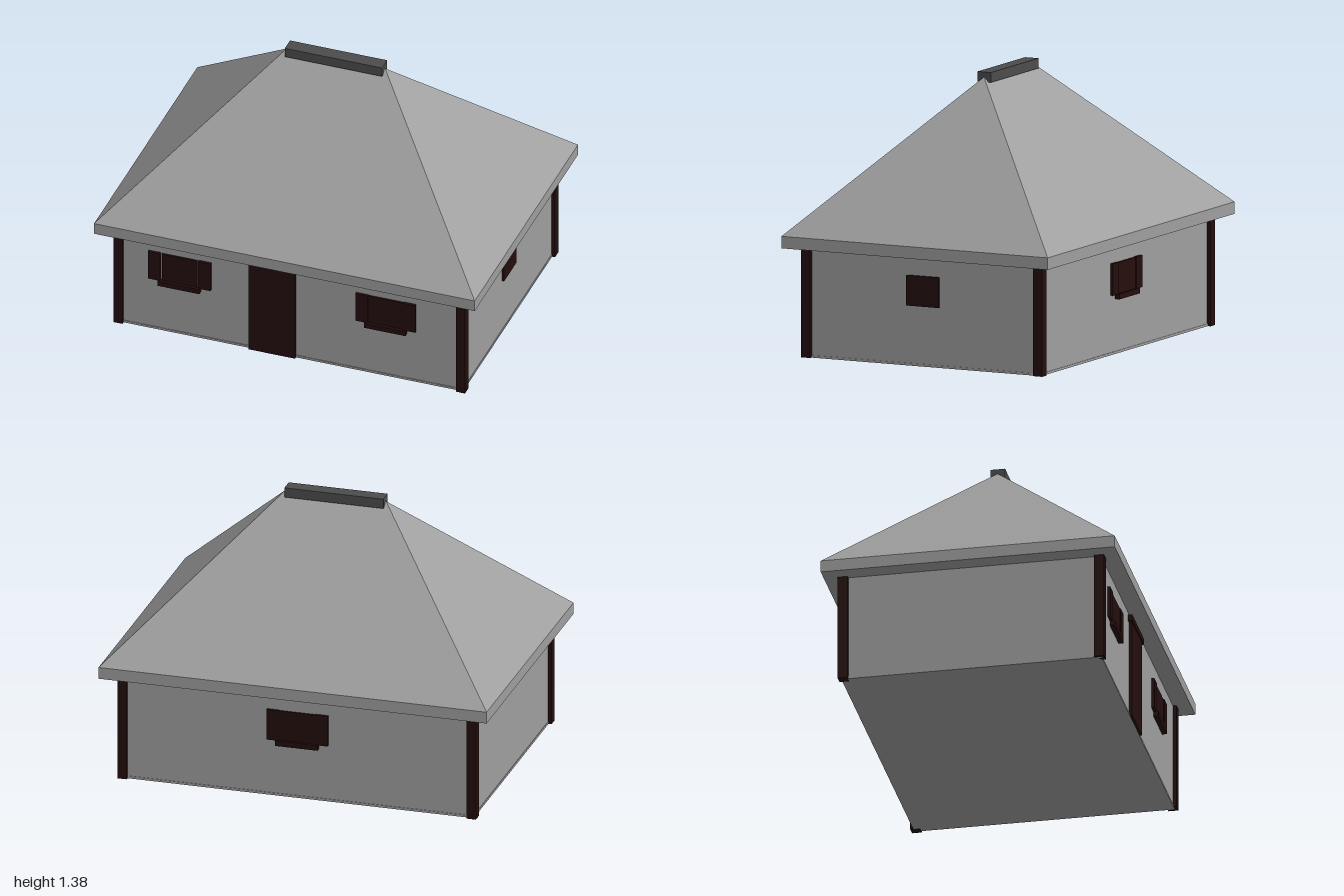
import * as THREE from 'three';

const material = (name, color) => {
  const m = new THREE.MeshStandardMaterial({ color });
  m.name = name;
  return m;
};

export function createModel() {
  const model = new THREE.Group();
  model.name = 'cottage';
  const plaster = material('light grey', 0x9f9f9f);
  const slate = material('dark grey', 0x4c4c4c);
  const wood = material('dark brown wood', 0x240e0d);

  // Box given by its extents on each axis
  const box = (parent, name, mat, [x0, x1], [y0, y1], [z0, z1]) => {
    const mesh = new THREE.Mesh(new THREE.BoxGeometry(x1 - x0, y1 - y0, z1 - z0), mat);
    mesh.position.set((x0 + x1) / 2, (y0 + y1) / 2, (z0 + z1) / 2);
    mesh.name = name;
    parent.add(mesh);
    return mesh;
  };

  // Floor slab and walls
  box(model, 'floorSlab', plaster, [-0.908, 0.908], [0, 0.012], [-0.655, 0.655]);
  box(model, 'walls', plaster, [-0.905, 0.905], [0.012, 0.56], [-0.652, 0.652]);

  // Corner posts
  for (const sx of [-1, 1]) {
    for (const sz of [-1, 1]) {
      const post = box(model, 'cornerPost', wood, [-0.0235, 0.0235], [0, 0.552], [-0.025, 0.025]);
      post.position.x = sx * 0.9;
      post.position.z = sz * 0.645;
    }
  }

  // Eaves board under the hip roof
  box(model, 'eaves', plaster, [-1, 1], [0.55, 0.61], [-0.74, 0.74]);

  // Hip roof: a box whose upper corners are drawn in to the ridge
  const roofGeometry = new THREE.BoxGeometry(2, 0.745, 1.48);
  const p = roofGeometry.attributes.position;
  for (let i = 0; i < p.count; i++) {
    if (p.getY(i) > 0) p.setXYZ(i, Math.sign(p.getX(i)) * 0.258, p.getY(i), 0);
  }
  const flatRoof = roofGeometry.toNonIndexed();
  flatRoof.computeVertexNormals();
  const roof = new THREE.Mesh(flatRoof, plaster);
  roof.name = 'hipRoof';
  roof.position.y = 0.61 + 0.745 / 2;
  model.add(roof);

  // Ridge cap
  box(model, 'ridgeCap', slate, [-0.255, 0.255], [1.33, 1.38], [-0.037, 0.037]);

  // Door with lintel
  const door = new THREE.Group();
  door.name = 'door';
  model.add(door);
  box(door, 'doorPanel', wood, [-0.215, 0.03], [0, 0.51], [0.64, 0.668]);
  box(door, 'lintel', wood, [-0.24, 0.055], [0.505, 0.535], [0.64, 0.674]);

  // Shuttered window with a sill, facing +z before placement
  const shutteredWindow = (name, x, gap, facing) => {
    const group = new THREE.Group();
    group.name = name;
    box(group, 'pane', wood, [-0.0925, 0.0925], [0.3, 0.455], [0.64, 0.662]);
    box(group, 'sill', wood, [-0.109, 0.109], [0.273, 0.3], [0.64, 0.677]);
    for (const s of [-1, 1]) {
      const shutter = box(group, 'shutter', wood, [-0.0325, 0.0325], [0.297, 0.457], [0.64, 0.666]);
      shutter.position.x = s * (0.125 + gap);
    }
    group.position.x = x;
    group.rotation.y = facing;
    model.add(group);
  };
  shutteredWindow('frontRightWindow', -0.58, 0.007, 0);
  shutteredWindow('frontLeftWindow', 0.503, 0, 0);
  shutteredWindow('backWindow', 0, 0, Math.PI);

  // Plain window on one gable wall
  box(model, 'sideWindow', wood, [0.89, 0.916], [0.3, 0.452], [-0.09, 0.09]);

  return model;
}
